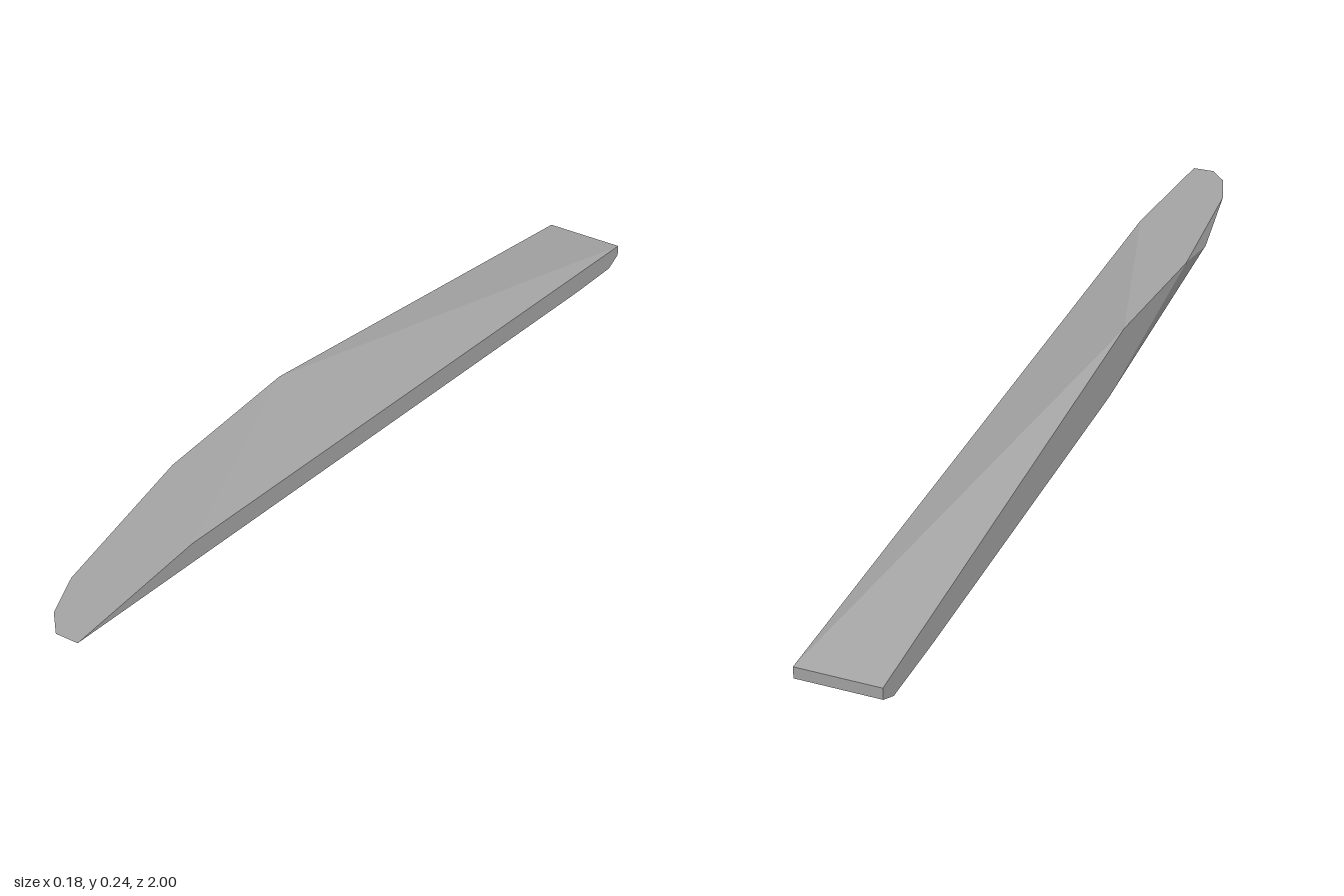
import * as THREE from 'three';
import { ConvexGeometry } from 'three/addons/geometries/ConvexGeometry.js';

const HALF = 0.088;   // half width
const TOP = 0.242;    // height of the flat upper face

// height of the sloping underside at depth z
const under = (z) => 0.117 + 0.125 * z;

export function createModel() {
  const group = new THREE.Group();
  group.name = 'wedgeBlade';
  const grey = new THREE.MeshStandardMaterial({ color: 0xa6a6a6 });
  grey.name = 'grey';

  const points = [];
  const add = (x, y, z) => points.push(new THREE.Vector3(x, y, z));

  // rear end: upper edge, blunt face and rounded heel, same on both sides
  for (const x of [-HALF, HALF]) {
    add(x, 0.04, -1);
    add(x, 0.016, -1);
    add(x, 0, -0.96);
    add(x, 0.016, -0.8);
  }

  // rim of the flat upper face, curving round to the tip
  const rim = [
    [HALF, 0.66], [HALF, 1], [0.04, 1], [0, 0.955],
    [-0.035, 0.86], [-HALF, 0.48], [-HALF, 0.12],
  ];
  for (const [x, z] of rim) add(x, TOP, z);

  // bulge of the curved side wall
  add(-0.071, 0.212, 0.65);

  // lower edge of the curved side, on the sloping underside
  const lowerEdge = [[-HALF, 0.04], [-0.072, 0.4], [-0.025, 0.8], [0.002, 0.955]];
  for (const [x, z] of lowerEdge) add(x, under(z), z);

  const blade = new THREE.Mesh(new ConvexGeometry(points), grey);
  blade.name = 'blade';
  group.add(blade);
  return group;
}
